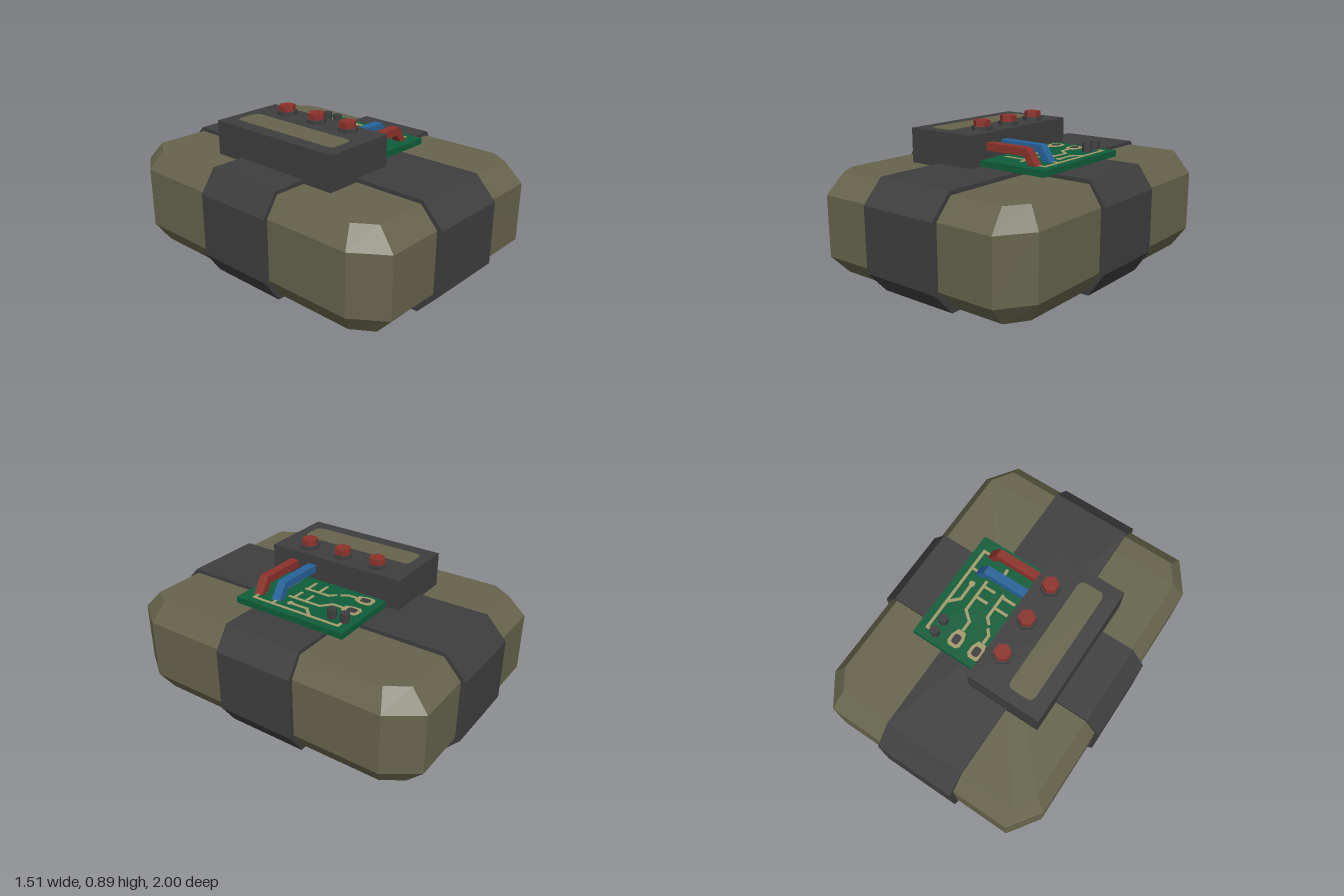
import * as THREE from 'three';

const mat = (name, color, extra = {}) => {
  const m = new THREE.MeshStandardMaterial({ color, flatShading: true, ...extra });
  m.name = name;
  return m;
};

export function createModel() {
  const olive = mat('olive', 0x66644c);
  const charcoal = mat('charcoal', 0x3e3e3e);
  const green = mat('boardGreen', 0x0f5d3a);
  const tan = mat('traceTan', 0xa39a6c);
  const red = mat('red', 0x8c322b);
  const blue = mat('blue', 0x28639a);

  const model = new THREE.Group();
  model.name = 'strappedCharge';
  const add = (name, geo, material, x = 0, y = 0, z = 0, parent = model) => {
    const m = new THREE.Mesh(geo, material);
    m.name = name;
    m.position.set(x, y, z);
    parent.add(m);
    return m;
  };
  const polygon = (pts) => new THREE.Shape(pts.map(([x, y]) => new THREE.Vector2(x, y)));
  const extrude = (shape, depth) =>
    new THREE.ExtrudeGeometry(shape, { depth, bevelEnabled: false, curveSegments: 4 });
  // Flat plate lying on a horizontal surface, shape y running towards -z
  const plate = (shape, height) => extrude(shape, height).rotateX(-Math.PI / 2);

  // Body: eight-sided rings stacked from bottom to top, with end caps
  const ring = (x, z, cx, cz, y) => [
    [x, y, cz], [x, y, -cz], [cx, y, -z], [-cx, y, -z],
    [-x, y, -cz], [-x, y, cz], [-cx, y, z], [cx, y, z],
  ];
  const inner = [0.655, 0.865, 0.575, 0.745], outer = [0.73, 0.97, 0.6, 0.785];
  const rings = [ring(...inner, 0.03), ring(...outer, 0.145), ring(...outer, 0.505), ring(...inner, 0.62)];
  const pos = [];
  const tri = (a, b, c) => pos.push(...a, ...b, ...c);
  for (let r = 0; r < 3; r++) {
    for (let i = 0; i < 8; i++) {
      const j = (i + 1) % 8, lo = rings[r], hi = rings[r + 1];
      tri(lo[i], lo[j], hi[j]);
      tri(lo[i], hi[j], hi[i]);
    }
  }
  for (let i = 1; i < 7; i++) {
    tri(rings[3][0], rings[3][i], rings[3][i + 1]);
    tri(rings[0][0], rings[0][i + 1], rings[0][i]);
  }
  const bodyGeo = new THREE.BufferGeometry();
  bodyGeo.setAttribute('position', new THREE.Float32BufferAttribute(pos, 3));
  bodyGeo.computeVertexNormals();
  add('body', bodyGeo, olive);

  // Two crossing straps wrapped around the body
  const strap = (half, flat) => extrude(polygon([
    [-flat, 0], [flat, 0], [half, 0.135], [half, 0.51],
    [flat, 0.643], [-flat, 0.643], [-half, 0.51], [-half, 0.135],
  ]), 0.5).translate(0, 0, -0.25);
  add('crossStrap', strap(0.757, 0.665), charcoal);
  add('lengthStrap', strap(1, 0.875).rotateY(Math.PI / 2), charcoal);

  // Control box with inset label
  add('controlBox', new THREE.BoxGeometry(0.46, 0.207, 0.89), charcoal, -0.23, 0.7255, 0);
  const roundedRect = (w, h, r) => {
    const s = new THREE.Shape(), x = w / 2, y = h / 2;
    s.moveTo(-x + r, -y).lineTo(x - r, -y).quadraticCurveTo(x, -y, x, -y + r);
    s.lineTo(x, y - r).quadraticCurveTo(x, y, x - r, y);
    s.lineTo(-x + r, y).quadraticCurveTo(-x, y, -x, y - r);
    s.lineTo(-x, -y + r).quadraticCurveTo(-x, -y, -x + r, -y);
    return s;
  };
  add('boxLabel', plate(roundedRect(0.16, 0.75, 0.04), 0.003), olive, -0.295, 0.829, 0);

  // Hexagonal buttons
  for (const z of [-0.24, 0, 0.24]) {
    const button = new THREE.Group();
    button.name = 'button';
    button.position.set(-0.095, 0.829, z);
    model.add(button);
    add('buttonBase', new THREE.CylinderGeometry(0.062, 0.062, 0.022, 6), charcoal, 0, 0.011, 0, button);
    add('buttonCap', new THREE.CylinderGeometry(0.05, 0.05, 0.036, 6), red, 0, 0.039, 0, button);
  }

  // Circuit board
  const boardTop = 0.68;
  add('circuitBoard', new THREE.BoxGeometry(0.444, 0.037, 0.73), green, 0.222, boardTop - 0.0185, 0);

  // Traces as [x, z] paths
  const traces = [
    [[0.065, -0.2], [0.065, -0.15], [0.09, -0.12]],
    [[0.105, -0.09], [0.135, -0.06], [0.135, 0.1]],
    [[0.05, 0.01], [0.135, 0.01]],
    [[0.05, 0.09], [0.135, 0.09]],
    [[0.206, -0.2], [0.206, -0.14], [0.265, -0.09], [0.265, 0.12]],
    [[0.19, 0.01], [0.265, 0.01]],
    [[0.19, 0.09], [0.265, 0.09]],
    [[0.345, -0.3], [0.39, -0.3], [0.39, 0.28], [0.345, 0.28]],
    [[0.39, -0.11], [0.33, -0.05], [0.33, 0.065]],
    [[0.05, 0.195], [0.2, 0.195], [0.206, 0.25]],
    [[0.345, 0.15], [0.39, 0.15]],
  ];
  const traceGroup = new THREE.Group();
  traceGroup.name = 'traces';
  model.add(traceGroup);
  for (const path of traces) {
    for (let i = 0; i < path.length - 1; i++) {
      const [x0, z0] = path[i], [x1, z1] = path[i + 1];
      const len = Math.hypot(x1 - x0, z1 - z0) + 0.014;
      const seg = add('trace', new THREE.BoxGeometry(len, 0.003, 0.018), tan,
        (x0 + x1) / 2, boardTop + 0.0015, (z0 + z1) / 2, traceGroup);
      seg.rotation.y = -Math.atan2(z1 - z0, x1 - x0);
    }
  }
  add('traceEnd', new THREE.CylinderGeometry(0.02, 0.02, 0.003, 8), tan, 0.33, boardTop + 0.002, 0.065);

  // Solder pads with dark centres
  const padShape = polygon([
    [-0.025, -0.055], [0.025, -0.055], [0.042, -0.01], [0.042, 0.035],
    [0.025, 0.055], [-0.025, 0.055], [-0.042, 0.035], [-0.042, -0.01],
  ]);
  for (const x of [0.068, 0.206]) {
    add('solderPad', plate(padShape, 0.004), tan, x, boardTop, -0.265);
    add('padHole', plate(roundedRect(0.045, 0.06, 0.018), 0.006), charcoal, x, boardTop, -0.27);
  }

  // Small posts on the board
  for (const z of [-0.305, -0.22]) {
    add('post', new THREE.CylinderGeometry(0.03, 0.03, 0.055, 6), charcoal, 0.33, boardTop + 0.0275, z);
  }

  // Bent wires from the box down to the board
  const wireShape = polygon([
    [-0.01, 0.728], [0.268, 0.728], [0.304, 0.675], [0.356, 0.675], [0.287, 0.773], [-0.01, 0.773],
  ]);
  add('redWire', extrude(wireShape, 0.055), red, 0, 0, 0.257);
  add('blueWire', extrude(wireShape, 0.055), blue, 0, 0, 0.128);

  return model;
}
